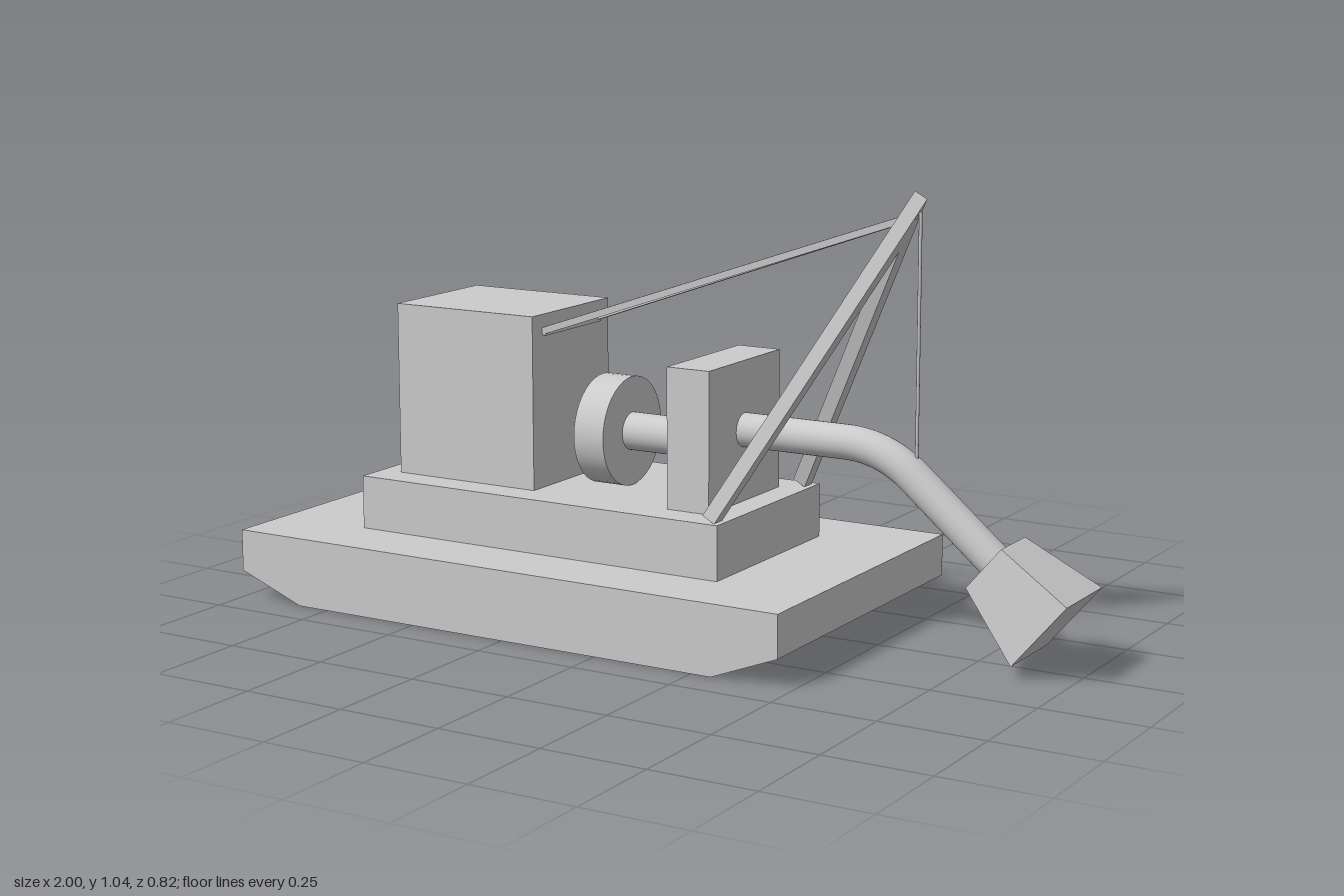
import * as THREE from 'three';

const mat = new THREE.MeshStandardMaterial({ color: 0xcccccc });
const flatMat = new THREE.MeshStandardMaterial({ color: 0xcccccc, flatShading: true });

export function createModel() {
  const model = new THREE.Group();
  model.name = 'dredger';

  const add = (name, geometry, material = mat) => {
    const mesh = new THREE.Mesh(geometry, material);
    mesh.name = name;
    model.add(mesh);
    return mesh;
  };
  // Box from its x and y limits and its half width in z
  const block = (name, x0, x1, y0, y1, halfZ) =>
    add(name, new THREE.BoxGeometry(x1 - x0, y1 - y0, halfZ * 2))
      .position.set((x0 + x1) / 2, (y0 + y1) / 2, 0);
  // Cylinder along x
  const axle = (name, x0, x1, y, radius) =>
    add(name, new THREE.CylinderGeometry(radius, radius, x1 - x0, 40).rotateZ(Math.PI / 2))
      .position.set((x0 + x1) / 2, y, 0);
  // Square bar between two points
  const bar = (name, a, b, size) => {
    const mesh = add(name, new THREE.BoxGeometry(size, size, a.distanceTo(b)));
    mesh.position.copy(a).lerp(b, 0.5);
    mesh.lookAt(b);
  };
  const shapeOf = (points) => new THREE.Shape(points.map(([x, y]) => new THREE.Vector2(x, y)));

  // Pontoon with chamfered ends
  const hull = shapeOf([[-1, 0.165], [-1, 0.065], [-0.83, 0], [0.3, 0], [0.465, 0.065], [0.465, 0.165]]);
  add('hull', new THREE.ExtrudeGeometry(hull, { depth: 0.816, bevelEnabled: false })
    .translate(0, 0, -0.408));

  // Deck, cabin and machinery
  block('deck', -0.76, 0.22, 0.165, 0.293, 0.243);
  block('cabin', -0.705, -0.32, 0.293, 0.705, 0.164);
  axle('flywheel', -0.23, -0.15, 0.425, 0.13);
  axle('driveShaft', -0.15, 0.045, 0.425, 0.045);
  block('pumpHousing', 0.043, 0.153, 0.293, 0.622, 0.164);

  // Suction pipe: straight, bend, sloping run
  const v = (x, y, z = 0) => new THREE.Vector3(x, y, z);
  const path = new THREE.CurvePath();
  path.add(new THREE.LineCurve3(v(0.14, 0.46), v(0.413, 0.46)));
  path.add(new THREE.QuadraticBezierCurve3(v(0.413, 0.46), v(0.513, 0.46), v(0.589, 0.395)));
  path.add(new THREE.LineCurve3(v(0.589, 0.395), v(0.79, 0.226)));
  add('suctionPipe', new THREE.TubeGeometry(path, 60, 0.04, 32));

  // Flared square suction head
  const slope = -Math.PI / 2 - Math.atan2(0.125, 0.1475);
  add('suctionHead', new THREE.CylinderGeometry(0.098 * Math.SQRT2, 0.064 * Math.SQRT2, 0.194, 4)
    .rotateY(Math.PI / 4).rotateZ(slope), flatMat).position.set(0.859, 0.1675, 0);

  // Leaning A-frame, mitred at the peak
  const tilt = Math.atan2(0.4, 0.727);
  const legs = shapeOf([[-0.23, 0], [-0.195, 0], [0, 0.693], [0.195, 0], [0.23, 0], [0, 0.83]]);
  add('aFrame', new THREE.ExtrudeGeometry(legs, { depth: 0.034, bevelEnabled: false })
    .translate(0, 0, -0.017).rotateY(Math.PI / 2).rotateZ(-tilt)).position.set(0.19, 0.3, 0);

  // Stays from the cabin to the peak, with their anchor bar
  const peak = v(0.583, 0.983);
  for (const side of [-1, 1]) bar('stay', v(-0.322, 0.665, side * 0.115), peak, 0.016);
  bar('stayAnchor', v(-0.32, 0.663, -0.12), v(-0.32, 0.663, 0.12), 0.016);

  // Hoist cable holding the pipe
  add('hoistCable', new THREE.CylinderGeometry(0.004, 0.004, 0.56, 10)).position.set(0.59, 0.71, 0);

  return model;
}
